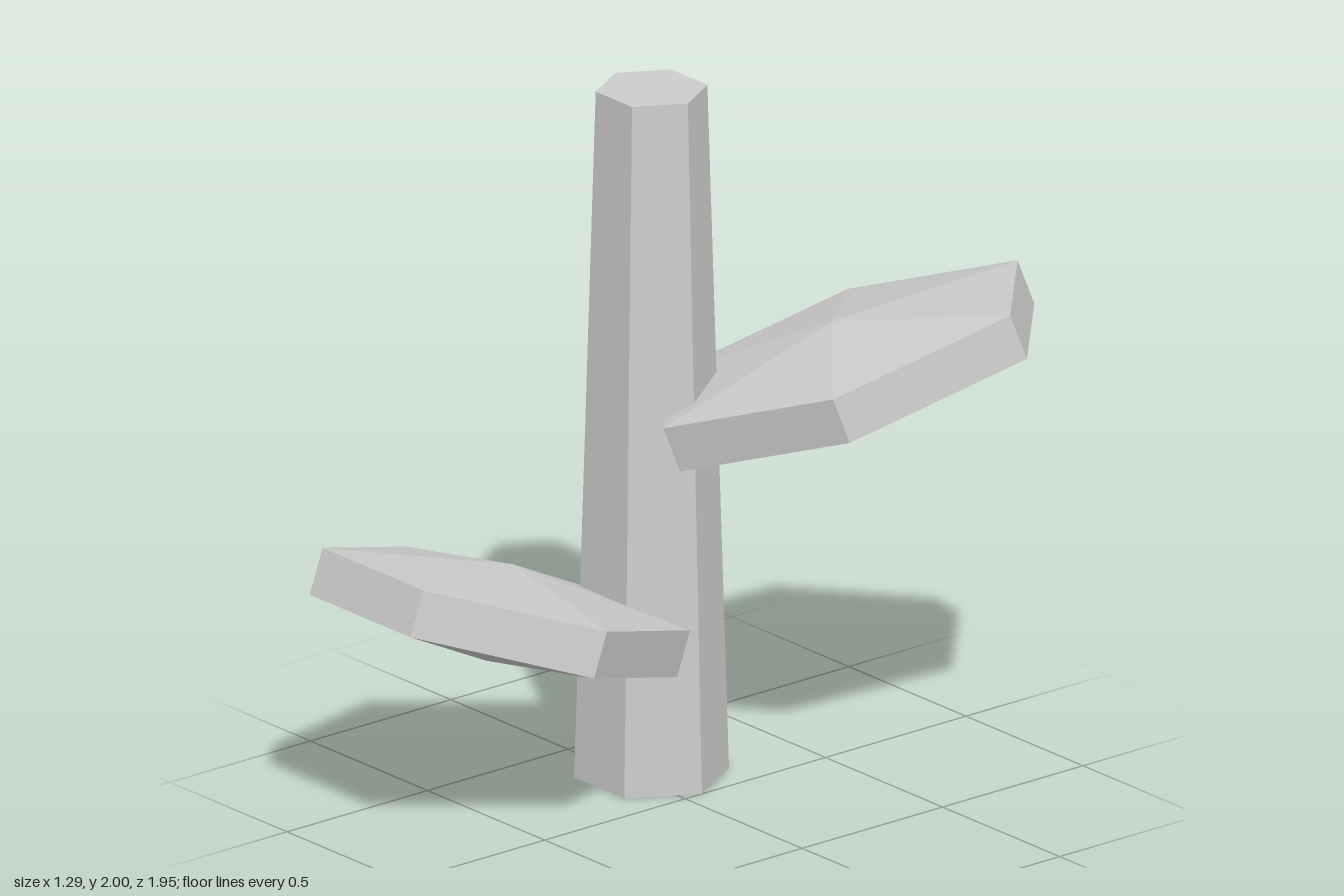
import * as THREE from 'three';

export function createModel() {
  const model = new THREE.Group();
  model.name = 'leafyStalk';
  const grey = new THREE.MeshStandardMaterial({ color: 0xcccccc, flatShading: true });
  grey.name = 'light grey';

  // Everything grows from the stalk axis
  const plant = new THREE.Group();
  plant.name = 'plant';
  plant.position.set(-0.215, 0, -0.06);
  model.add(plant);

  // Tapered six-sided stalk
  const stalkGeo = new THREE.CylinderGeometry(0.155, 0.215, 2, 6, 1, false, Math.PI / 6);
  const stalk = new THREE.Mesh(stalkGeo, grey);
  stalk.name = 'stalk';
  stalk.position.y = 1;
  plant.add(stalk);

  // Leaf: stretched hexagonal disc with shallow peaks above and below
  const profile = [[0, -0.138], [0.43, -0.067], [0.43, 0.067], [0, 0.138]]
    .map(([r, y]) => new THREE.Vector2(r, y));
  const leafGeo = new THREE.LatheGeometry(profile, 6, Math.PI / 6);
  leafGeo.scale(1, 1, 1.357);

  // Leaves spiral up the stalk by the golden angle
  for (let i = 0; i < 2; i++) {
    const branch = new THREE.Group();
    branch.name = ['lowerLeaf', 'upperLeaf'][i];
    branch.position.y = 0.598 + 0.6 * i;
    branch.rotation.y = THREE.MathUtils.degToRad(137.5 * i);
    const leaf = new THREE.Mesh(leafGeo, grey);
    leaf.name = 'leafBlade';
    leaf.position.z = 0.54;
    leaf.rotation.x = THREE.MathUtils.degToRad(-20);
    branch.add(leaf);
    plant.add(branch);
  }
  return model;
}
